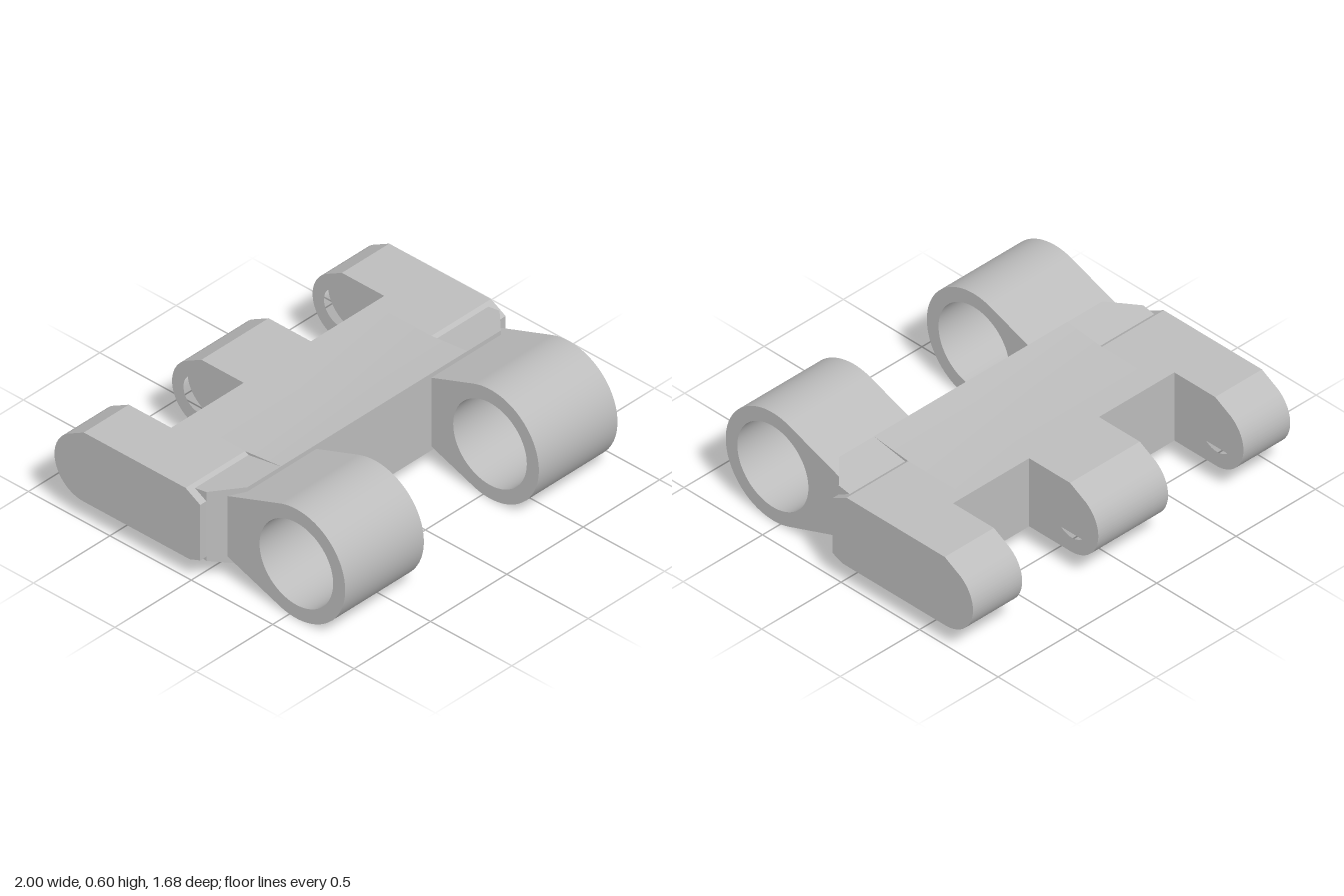
import * as THREE from 'three';
import { toCreasedNormals } from 'three/addons/utils/BufferGeometryUtils.js';

export function createModel() {
  const model = new THREE.Group();
  model.name = 'trackLink';
  const steel = new THREE.MeshStandardMaterial({ color: 0xbdbdbd });
  steel.name = 'plain grey';

  // Side outlines are drawn with shape x = -z, shape y = y, then pushed along x
  function slab(name, shape, x0, x1) {
    const geo = new THREE.ExtrudeGeometry(shape, { depth: x1 - x0, bevelEnabled: false, curveSegments: 40 });
    geo.rotateY(Math.PI / 2);
    geo.translate(x0, 0, 0);
    const mesh = new THREE.Mesh(toCreasedNormals(geo, 0.4), steel);
    mesh.name = name;
    model.add(mesh);
  }
  const outline = (pts) => new THREE.Shape(pts.map(([z, y]) => new THREE.Vector2(-z, y)));
  const round = (shape, z, y, r) => {
    const hole = new THREE.Path();
    hole.absarc(-z, y, r, 0, Math.PI * 2, true);
    shape.holes.push(hole);
    return shape;
  };

  // Main plate: flared middle and chamfered ends
  const middle = outline([[-0.4, 0.11], [-0.03, 0.11], [0.185, 0.09], [0.185, 0.513], [-0.03, 0.49], [-0.4, 0.49]]);
  slab('plateMiddle', middle, -0.61, 0.61);
  const end = outline([[-0.4, 0.11], [-0.01, 0.11], [0.055, 0.135], [0.055, 0.44], [-0.035, 0.49], [-0.4, 0.49]]);
  slab('plateEndRight', end, -1, -0.61);
  slab('plateEndLeft', end, 0.61, 1);

  // Front wedge: plan with cut corners, top and bottom flaring towards the front
  const plan = [[-0.96, -0.02], [-0.96, 0.055], [-0.83, 0.185], [0.83, 0.185], [0.96, 0.055], [0.96, -0.02]];
  const planShape = new THREE.Shape(plan.map(([x, z]) => new THREE.Vector2(x, -z)));
  const wedgeGeo = new THREE.ExtrudeGeometry(planShape, { depth: 1, bevelEnabled: false });
  wedgeGeo.rotateX(-Math.PI / 2);
  const p = wedgeGeo.attributes.position;
  for (let i = 0; i < p.count; i++) {
    const half = 0.18 + 0.17 * p.getZ(i);
    p.setY(i, 0.301 + (p.getY(i) > 0.5 ? half : -half));
  }
  wedgeGeo.computeVertexNormals();
  const wedge = new THREE.Mesh(wedgeGeo, steel);
  wedge.name = 'frontWedge';
  model.add(wedge);

  // Rear lugs with sockets in the faces that meet a neighbour
  function lugShape(socket) {
    const s = outline([[-0.4, 0.11], [-0.4, 0.49], [-0.66, 0.49], [-0.76, 0.435]]);
    s.absarc(0.663, 0.287, 0.177, Math.atan2(0.148, 0.097), -Math.PI / 2, true);
    return socket ? round(s, -0.67, 0.29, 0.1) : s;
  }
  const solid = lugShape(false), socketed = lugShape(true), d = 0.1;
  slab('rearLugRight', solid, -1, -0.705 - d);
  slab('rearSocketRight', socketed, -0.705 - d, -0.705);
  slab('rearSocketMiddleRight', socketed, -0.23, -0.23 + d);
  slab('rearLugMiddle', solid, -0.23 + d, 0.21 - d);
  slab('rearSocketMiddleLeft', socketed, 0.21 - d, 0.21);
  slab('rearSocketLeft', socketed, 0.69, 0.69 + d);
  slab('rearLugLeft', solid, 0.69 + d, 1);

  // Front eyes: tapered arms ending in rings
  const a = THREE.MathUtils.degToRad(70);
  const eye = new THREE.Shape();
  eye.moveTo(-0.1, 0.142);
  eye.lineTo(-0.1, 0.458);
  eye.absarc(-0.545, 0.3, 0.3, a, Math.PI * 2 - a, false);
  eye.closePath();
  round(eye, 0.545, 0.3, 0.226);
  slab('frontEyeRight', eye, -0.893, -0.378);
  slab('frontEyeLeft', eye, 0.375, 0.89);

  return model;
}
